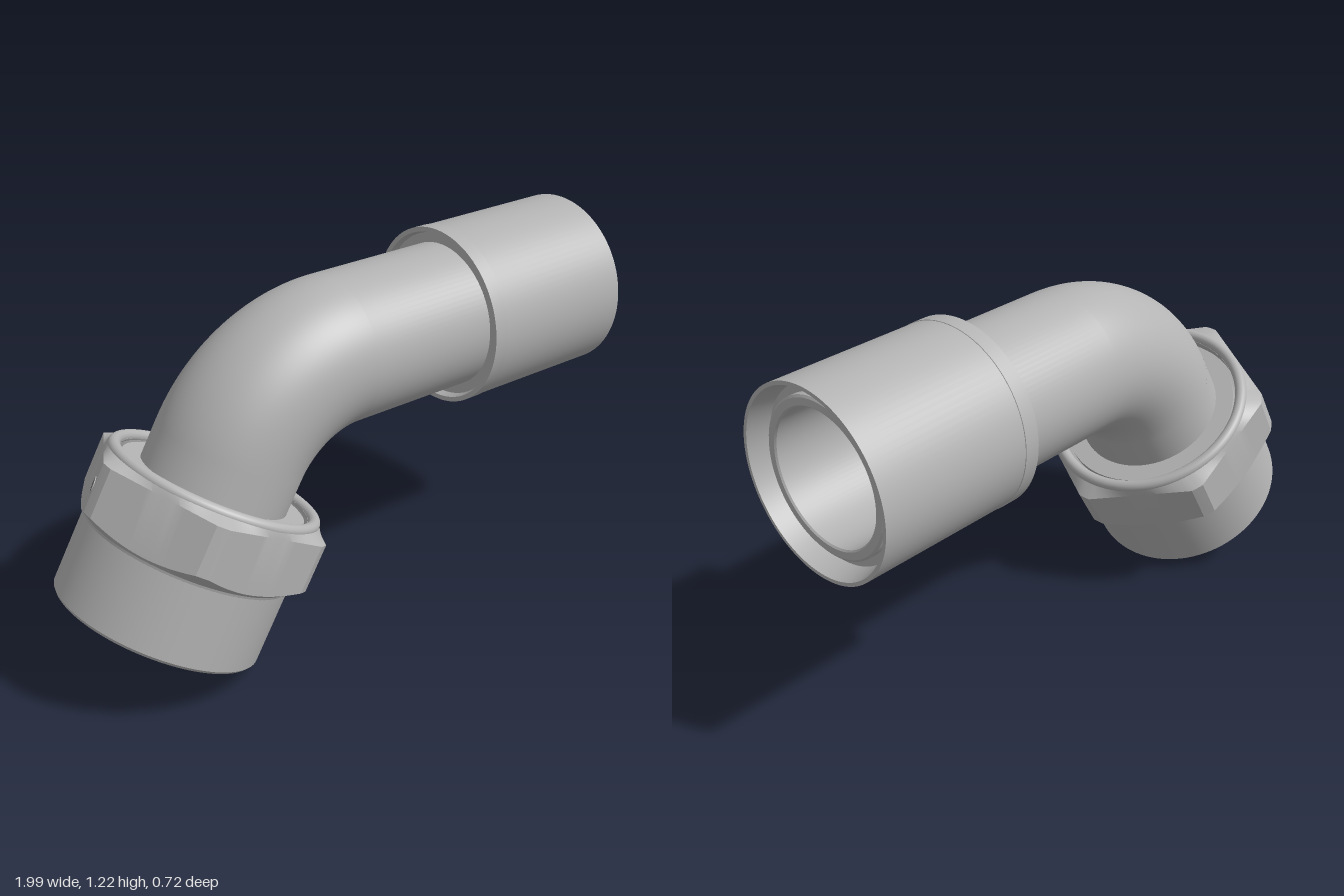
import * as THREE from 'three';
import { toCreasedNormals } from 'three/addons/utils/BufferGeometryUtils.js';

const metal = new THREE.MeshStandardMaterial({ color: 0xb4b4b4, side: THREE.DoubleSide });
metal.name = 'grey metal';
const dark = new THREE.MeshStandardMaterial({ color: 0x6c6c6c });
dark.name = 'dark recess';

const AXIS_Y = 0.927;   // height of the horizontal pipe
const BEND_R = 0.46;    // centre-line radius of the elbow
const BEND_T = 0.603;   // elbow end, measured along the nut axis
const PIPE_R = 0.245;
const BORE_R = 0.21;

function add(parent, name, geometry, material = metal) {
  const mesh = new THREE.Mesh(geometry, material);
  mesh.name = name;
  parent.add(mesh);
  return mesh;
}

// turned part from [radius, height] pairs
function turned(profile, segments = 96) {
  return new THREE.LatheGeometry(profile.map(([r, h]) => new THREE.Vector2(r, h)), segments);
}
const crisp = (geometry) => toCreasedNormals(geometry, 0.4);

// hexagonal collar: a turned ring whose wide rows are pulled onto a hexagon
function hexCollar() {
  const g = turned([
    [0.343, 0.25], [0.347, 0.266], [0.4, 0.3], [0.4, 0.465], [0.355, 0.487], [0.315, 0.487],
  ], 120);
  const p = g.attributes.position;
  for (let i = 0; i < p.count; i++) {
    const x = p.getX(i), y = p.getY(i), z = p.getZ(i);
    if (Math.hypot(x, z) < 0.37) continue;
    const deg = THREE.MathUtils.radToDeg(Math.atan2(x, z)) + 390;
    const off = Math.min(Math.abs((deg % 60) - 30), 27);   // corners are cut short
    const r = 0.36 / Math.cos(THREE.MathUtils.degToRad(off));
    const k = r / Math.hypot(x, z);
    const h = y < 0.4 ? 0.277 + (r - 0.36) * 0.64 : y;     // scalloped lower edge
    p.setXYZ(i, x * k, h, z * k);
  }
  return crisp(g);
}

export function createModel() {
  const model = new THREE.Group();
  model.name = 'pipeElbow';

  // horizontal run, turned about x
  const run = new THREE.Group();
  run.name = 'horizontalRun';
  run.position.y = AXIS_Y;
  run.rotation.z = -Math.PI / 2;
  model.add(run);
  add(run, 'straightPipe', crisp(turned([
    [PIPE_R, 0], [PIPE_R, 0.955], [0.238, 0.96], [BORE_R + 0.005, 0.96], [BORE_R, 0.955], [BORE_R, 0],
  ])));
  add(run, 'sleeve', crisp(turned([
    [PIPE_R, 0.455], [0.278, 0.455], [0.285, 0.43], [0.301, 0.43], [0.301, 0.48], [0.299, 0.481],
    [0.299, 1], [0.287, 1], [0.271, 0.93], [PIPE_R, 0.93],
  ])));

  // sixty degree bend, outside and bore
  for (const [name, r] of [['bend', PIPE_R], ['bendBore', BORE_R]]) {
    const bend = add(model, name, new THREE.TorusGeometry(BEND_R, r, 96, 48, Math.PI / 3));
    bend.position.y = AXIS_Y - BEND_R;
    bend.rotation.z = Math.PI / 2;
  }

  // tilted nut end
  const end = new THREE.Group();
  end.name = 'nutEnd';
  end.position.set(-0.7, 0.175, 0);
  end.rotation.z = -Math.PI / 6;
  model.add(end);
  add(end, 'lowerPipe', turned([[PIPE_R, 0.42], [PIPE_R, BEND_T]]));
  add(end, 'nutBarrel', crisp(turned([
    [0.325, 0], [0.337, 0], [0.345, 0.01], [0.345, 0.27],
  ])));
  add(end, 'nutBore', crisp(turned([
    [BORE_R, BEND_T], [BORE_R, 0.4], [0.3, 0.2], [0.317, 0.2], [0.317, 0.012], [0.325, 0],
  ])));
  add(end, 'hexCollar', hexCollar());

  // rolled lip and the recessed washer inside it
  const lip = add(end, 'rolledLip', new THREE.TorusGeometry(0.336, 0.02, 20, 96));
  lip.position.y = 0.487;
  lip.rotation.x = Math.PI / 2;
  add(end, 'washer', crisp(turned([
    [0.318, 0.49], [0.318, 0.455], [0.306, 0.455], [0.306, 0.478], [PIPE_R, 0.478],
  ])));

  // small locking hole on one rear flat of the collar
  const hole = new THREE.Group();
  hole.name = 'lockingHole';
  hole.position.set(-0.381, 0.38, -0.06);
  hole.rotation.y = -Math.PI * 2 / 3;
  end.add(hole);
  add(hole, 'holeRecess', new THREE.CircleGeometry(0.024, 32), dark).position.z = 0.002;
  add(hole, 'holeRim', new THREE.TorusGeometry(0.024, 0.003, 8, 32));

  return model;
}
